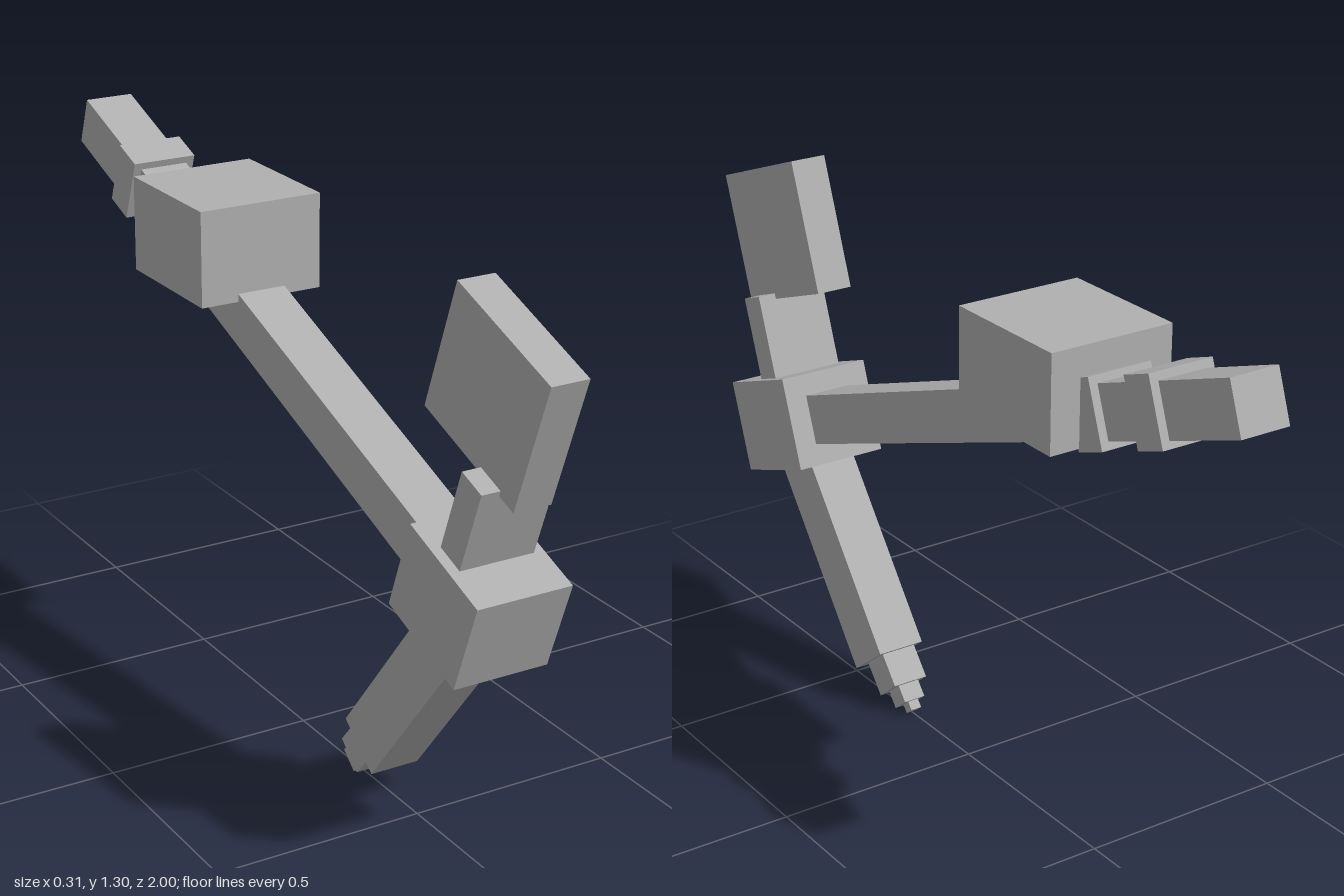
import * as THREE from 'three';

export function createModel() {
  const group = new THREE.Group();
  const grey = new THREE.MeshStandardMaterial({ color: 0xb0b0b0 });
  grey.name = 'grey';

  // Box centred on x = 0, tilted about the x axis by a number of degrees
  const block = (name, [w, h, d], y, z, tilt = 0) => {
    const mesh = new THREE.Mesh(new THREE.BoxGeometry(w, h, d), grey);
    mesh.name = name;
    mesh.position.set(0, y, z);
    mesh.rotation.x = THREE.MathUtils.degToRad(tilt);
    group.add(mesh);
  };

  // Handle with two grip bands and a wide upright box
  block('handle', [0.12, 0.12, 1.70], 0.951, -0.179, 20);
  block('rearBand', [0.16, 0.155, 0.083], 1.151, -0.726, 20);
  block('frontBand', [0.16, 0.155, 0.083], 1.079, -0.532, 20);
  block('handleBox', [0.306, 0.225, 0.33], 1.1125, -0.355);

  // Head block, neck and thin blade
  block('head', [0.23, 0.224, 0.266], 0.625, 0.716, 20);
  block('neck', [0.18, 0.24, 0.075], 0.812, 0.769, 20);
  block('blade', [0.09, 0.317, 0.345], 1.089, 0.783, 20);

  // Spike below the head, ending in three shrinking steps
  block('spike', [0.12, 0.57, 0.142], 0.34, 0.523, 38);
  block('spikeStep', [0.09, 0.10, 0.086], 0.096, 0.316, 40);
  block('spikeSmallStep', [0.056, 0.07, 0.056], 0.053, 0.277, 40);
  block('spikeTip', [0.028, 0.05, 0.028], 0.031, 0.253, 40);

  return group;
}
